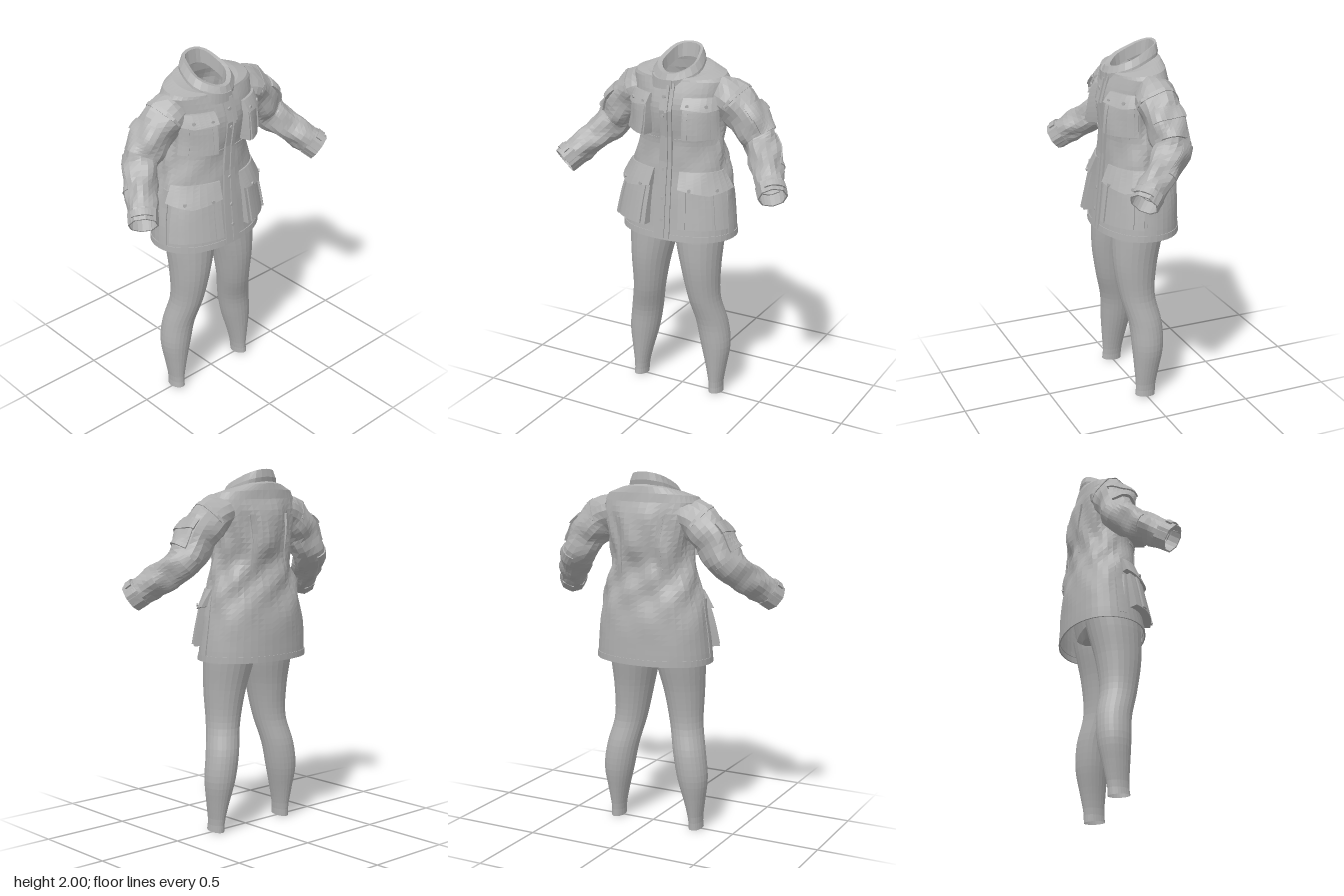
import * as THREE from 'three';

const cloth = new THREE.MeshStandardMaterial({ color: 0xb0b0b0, flatShading: true, side: THREE.DoubleSide });
cloth.name = 'grey cloth';
const { lerp, clamp } = THREE.MathUtils;
const V = (x, y, z) => new THREE.Vector3(x, y, z);

// Skin a grid of points (rows of Vector3); closed joins each row end to start
function skin(name, rows, closed) {
  const n = rows[0].length, pos = [], idx = [];
  rows.flat().forEach(p => pos.push(p.x, p.y, p.z));
  for (let i = 0; i + 1 < rows.length; i++)
    for (let j = 0; j < (closed ? n : n - 1); j++) {
      const k = (j + 1) % n, a = i * n + j, b = a + n, c = i * n + k, d = c + n;
      idx.push(a, b, c, b, d, c);
    }
  const g = new THREE.BufferGeometry();
  g.setAttribute('position', new THREE.Float32BufferAttribute(pos, 3));
  g.setIndex(idx);
  g.computeVertexNormals();
  const m = new THREE.Mesh(g, cloth);
  m.name = name;
  return m;
}

// Smoothly interpolate table rows keyed by their first number
function sample(table, y) {
  let i = 0;
  while (i < table.length - 2 && y > table[i + 1][0]) i++;
  const a = table[i], b = table[i + 1], p = table[i - 1] || a, q = table[i + 2] || b;
  const h = b[0] - a[0], t = clamp((y - a[0]) / h, 0, 1), t2 = t * t, t3 = t2 * t;
  return a.map((v, k) => k === 0 ? y :
    v * (2 * t3 - 3 * t2 + 1) + b[k] * (3 * t2 - 2 * t3) +
    h * (b[k] - p[k]) / (b[0] - p[0]) * (t3 - 2 * t2 + t) +
    h * (q[k] - v) / (q[0] - a[0]) * (t3 - t2));
}

// Point on an oval section [y, centre x, half width, front z, back z, tilt]
const N = 2.15;
function oval([y, cx, rx, zf, zb, tilt = 0], a, d = 0) {
  const pw = v => Math.sign(v) * Math.abs(v) ** (2 / N);
  const c = pw(Math.cos(a)), s = pw(Math.sin(a)), rz = (zf - zb) / 2;
  const n = V(c / rx, 0, s / rz).normalize();
  return V(cx + rx * c + n.x * d, y - tilt * s, (zf + zb) / 2 + rz * s + n.z * d);
}
const ring = (n, f) => Array.from({ length: n }, (_, j) => f(j / n * Math.PI * 2));

// Raised panel on a surface: angles a0..a1, v from low(u) to v1, thickness d0 to d1
function panel(name, surf, a0, a1, low, v1, d0, d1 = d0, nu = 8, nv = 6) {
  const rows = [], lo = typeof low === 'function' ? low : () => low;
  for (let i = -1; i <= nv + 1; i++) {
    const row = [];
    for (let j = -1; j <= nu + 1; j++) {
      const u = clamp(j / nu, 0, 1), t = clamp(i / nv, 0, 1);
      const edge = i < 0 || j < 0 || i > nv || j > nu;
      row.push(surf(lerp(a0, a1, u), lerp(lo(u), v1, t), edge ? -0.004 : lerp(d0, d1, t)));
    }
    rows.push(row);
  }
  return skin(name, rows, false);
}

const BODY = [
  [0.97, -0.025, 0.333, 0.20, -0.25], [1.03, -0.025, 0.33, 0.192, -0.25],
  [1.2, -0.025, 0.312, 0.175, -0.245], [1.36, -0.02, 0.28, 0.157, -0.218],
  [1.5, -0.015, 0.24, 0.147, -0.198], [1.6, -0.01, 0.235, 0.162, -0.214],
  [1.7, -0.01, 0.25, 0.166, -0.21], [1.78, -0.01, 0.268, 0.145, -0.198], [1.84, -0.015, 0.28, 0.12, -0.175],
];
const SHOULDER = [[1.868, -0.017, 0.262, 0.118, -0.168, 0.02], [1.888, -0.02, 0.19, 0.115, -0.16, 0.035],
  [1.89, -0.02, 0.12, 0.105, -0.14, 0.05]];

// Jacket surface with slanting cloth folds, strongest at the back of the waist
function body(a, y, d = 0) {
  const mid = clamp((y - 1.08) / 0.3, 0, 1) * clamp((1.86 - y) / 0.12, 0, 1);
  const amp = mid * (Math.sin(a) > 0.2 ? 0.002 : 0.008);
  const fold = Math.sin(6 * a + 17 * y + 1.5 * Math.sin(9 * y)) + 0.6 * Math.sin(10 * a - 21 * y);
  return oval(sample(BODY, y), a, d + amp * fold);
}
// Angle of the front surface at a given x and height
function angleAt(x, y) {
  const [, cx, rx] = sample(BODY, y), c = clamp((x - cx) / rx, -1, 1);
  return Math.acos(Math.sign(c) * Math.abs(c) ** (N / 2));
}
const front = (name, x0, x1, y0, y1, d0, d1, ym = y1) =>
  panel(name, body, angleAt(x1, ym), angleAt(x0, ym), y0, y1, d0, d1);

function button(x, y, d) {
  const a = angleAt(x, y), p = body(a, y, d), q = body(a, y, d + 0.05);
  const m = new THREE.Mesh(new THREE.CylinderGeometry(0.01, 0.01, 0.008, 8), cloth);
  m.name = 'button';
  m.position.copy(p);
  m.quaternion.setFromUnitVectors(V(0, 1, 0), q.sub(p).normalize());
  return m;
}

function makeJacket() {
  const g = new THREE.Group();
  g.name = 'jacket';
  const rows = [];
  for (let i = 0; i <= 30; i++) rows.push(ring(44, a => body(a, lerp(0.97, 1.84, i / 30))));
  SHOULDER.forEach(r => rows.push(ring(44, a => oval(r, a))));
  g.add(skin('jacketBody', rows, true));
  g.add(panel('hemBand', body, 0, Math.PI * 2, 0.966, 1.0, 0.004, 0.004, 44, 1));

  // Standing collar: outer wall, rim and inner wall
  const collar = [[1.868, -0.02, 0.142, 0.14, -0.15, 0.058], [1.9, -0.02, 0.136, 0.142, -0.157, 0.058],
    [1.938, -0.018, 0.112, 0.128, -0.15, 0.062], [1.935, -0.016, 0.092, 0.1, -0.138, 0.058],
    [1.87, -0.016, 0.085, 0.085, -0.125, 0.05]];
  g.add(skin('collar', collar.map(r => ring(24, a => oval(r, a, 0.004 * Math.sin(5 * a)))), true));
  // Overlapping collar tab at the front
  const tab = (a, t, d) => oval(collar[0].map((v, k) => lerp(v, collar[1][k], t)), a, d);
  g.add(panel('collarTab', tab, 1.35, 2.45, u => -0.3 - 0.5 * u, 1.1, 0.012, 0.006));

  // Front fly with its stitched edges and fasteners
  g.add(front('frontFly', -0.045, 0.022, 0.975, 1.83, 0.008, 0.014, 1.5));
  g.add(front('zipRidge', -0.012, 0.002, 0.98, 1.82, 0.014, 0.024, 1.5));
  [1.08, 1.2, 1.36, 1.5, 1.66, 1.76].forEach(y => g.add(button(-0.02, y, 0.014)));

  // Hip and chest pockets: body, pleat strips, pointed flap and buttons
  for (const [x0, x1, d] of [[-0.325, -0.1, 0.046], [0.075, 0.28, 0.034]]) {
    const w = x1 - x0;
    g.add(front('hipPocket', x0, x1, 1.045, 1.29, d, 0.02, 1.15));
    for (const k of [0.1, 0.8])
      g.add(front('hipPocketPleat', x0 + k * w, x0 + (k + 0.09) * w, 1.05, 1.26, d + 0.01, 0.03, 1.15));
    g.add(front('hipPocketFlap', x0 - 0.005, x1 + 0.005, u => 1.235 + 0.03 * Math.abs(2 * u - 1), 1.355, 0.04, 0.008, 1.2));
    g.add(button(x0 + 0.25 * w, 1.265, 0.04), button(x1 - 0.2 * w, 1.265, 0.04));
  }
  for (const [x0, x1] of [[-0.235, -0.105], [0.085, 0.215]]) {
    const w = x1 - x0;
    g.add(front('chestPocket', x0, x1, 1.545, 1.72, 0.062, 0.028, 1.62));
    for (const k of [0.06, 0.82])
      g.add(front('chestPocketPleat', x0 + k * w, x0 + (k + 0.12) * w, 1.55, 1.7, 0.07, 0.036, 1.62));
    g.add(front('chestPocketFlap', x0 - 0.008, x1 + 0.008, u => 1.695 + 0.018 * Math.abs(2 * u - 1), 1.765, 0.044, 0.014, 1.62));
    g.add(button(x0 + 0.2 * w, 1.725, 0.034), button(x1 - 0.2 * w, 1.725, 0.034));
  }
  g.add(front('waistSeam', -0.2, 0.18, 1.515, 1.53, 0.005, 0.005, 1.52));

  // Back action pleats and side vents
  for (const a of [-1.1, -2.05]) g.add(panel('backPleat', body, a - 0.06, a + 0.06, 1.45, 1.76, 0.002, 0.014));
  for (const a of [0.12, Math.PI - 0.12]) g.add(panel('sideVent', body, a - 0.1, a + 0.1, 1.0, 1.32, 0.006, 0.004));
  return g;
}

const SLEEVE = [[0, 0.105], [0.12, 0.112], [0.3, 0.105], [0.48, 0.097], [0.68, 0.085], [0.85, 0.078], [1, 0.075]];
function makeSleeve(s) {
  const g = new THREE.Group();
  g.name = s > 0 ? 'leftSleeve' : 'rightSleeve';
  const path = new THREE.CatmullRomCurve3([
    [0.205, 1.765, -0.035], [0.285, 1.735, -0.035], [0.37, 1.655, -0.035], [0.455, 1.53, -0.035],
    [0.518, 1.455, 0.037], [0.58, 1.388, 0.12], [0.64, 1.32, 0.2]].map(([x, y, z]) => V(s * x, y, z)));
  // Angle 0 faces out and up, positive angles turn to the front
  const surf = (a, t, d = 0) => {
    const T = path.getTangentAt(clamp(t, 0, 1)), u = V(0, 0, s).cross(T).normalize(), v = u.clone().cross(T);
    const amp = 0.006 * clamp((0.93 - t) / 0.1, 0, 1);
    const fold = Math.sin(4 * a + 15 * t) + 0.8 * Math.sin(3 * a - 26 * t + Math.sin(2 * a));
    const r = sample(SLEEVE, t)[1] + d + amp * fold;
    return path.getPointAt(clamp(t, 0, 1)).addScaledVector(u, r * Math.cos(a)).addScaledVector(v, -s * r * Math.sin(a));
  };
  const rows = [];
  for (let i = 0; i <= 24; i++) rows.push(ring(18, a => surf(-s * a, i / 24)));
  g.add(skin('sleeve', rows, true));
  const patch = (name, a0, a1, t0, t1, d0, d1) =>
    g.add(panel(name, surf, s > 0 ? a1 : a0, s > 0 ? a0 : a1, t0, t1, d0, d1));
  patch('sleevePocket', -0.6, 0.9, 0.28, 0.45, 0.006, 0.014);
  patch('sleevePocketFlap', -0.65, 0.95, 0.24, 0.32, 0.008, 0.016);
  patch('elbowPatch', -1.9, -0.4, 0.48, 0.74, 0.005, 0.005);
  patch('shoulderSeam', -1.6, 1.6, 0.13, 0.15, 0.004, 0.004);
  patch('cuff', -Math.PI, Math.PI, 0.9, 1, 0.005, 0.004);
  patch('cuffStrap', -0.2, 1.3, 0.92, 0.97, 0.01, 0.01);
  return g;
}

// Leg sections: height, inner x, outer x, front z, back z, measured from the body's middle
const LEG = [[0.005, 0.21, 0.287, 0.06, -0.057], [0.06, 0.207, 0.285, 0.055, -0.06], [0.15, 0.188, 0.298, 0.06, -0.078],
  [0.3, 0.148, 0.318, 0.07, -0.108], [0.44, 0.12, 0.302, 0.08, -0.108], [0.6, 0.085, 0.268, 0.12, -0.08],
  [0.78, 0.048, 0.27, 0.15, -0.097], [0.95, 0.006, 0.28, 0.155, -0.135], [1.02, 0, 0.28, 0.15, -0.15]];
function makeLeg(s) {
  const rows = [];
  for (let i = 0; i <= 28; i++) {
    const [y, xi, xo, zf, zb] = sample(LEG, lerp(0.005, 1.02, i / 28));
    const cx = -0.025 + s * (xi + xo) / 2, rx = (xo - xi) / 2, rz = (zf - zb) / 2;
    rows.push(ring(24, a => V(cx + rx * Math.cos(a), y + (i ? 0 : 0.005 * Math.sin(a)), (zf + zb) / 2 + rz * Math.sin(a))));
  }
  return skin(s > 0 ? 'leftLegging' : 'rightLegging', rows, true);
}

// Hips joining the two legs under the jacket, closed at the waist
function makeHips() {
  const sections = [[0.945, -0.025, 0.01, 0.06, -0.08], [0.96, -0.025, 0.09, 0.12, -0.13], [1.0, -0.025, 0.275, 0.145, -0.15],
    [1.1, -0.025, 0.265, 0.14, -0.17], [1.25, -0.022, 0.235, 0.12, -0.16], [1.26, -0.022, 0.001, 0.001, -0.001]];
  return skin('hips', sections.map(r => ring(28, a => oval(r, a))), true);
}

export function createModel() {
  const model = new THREE.Group();
  model.name = 'jacketAndLeggings';
  model.add(makeJacket(), makeHips());
  for (const s of [1, -1]) model.add(makeSleeve(s), makeLeg(s));
  return model;
}
